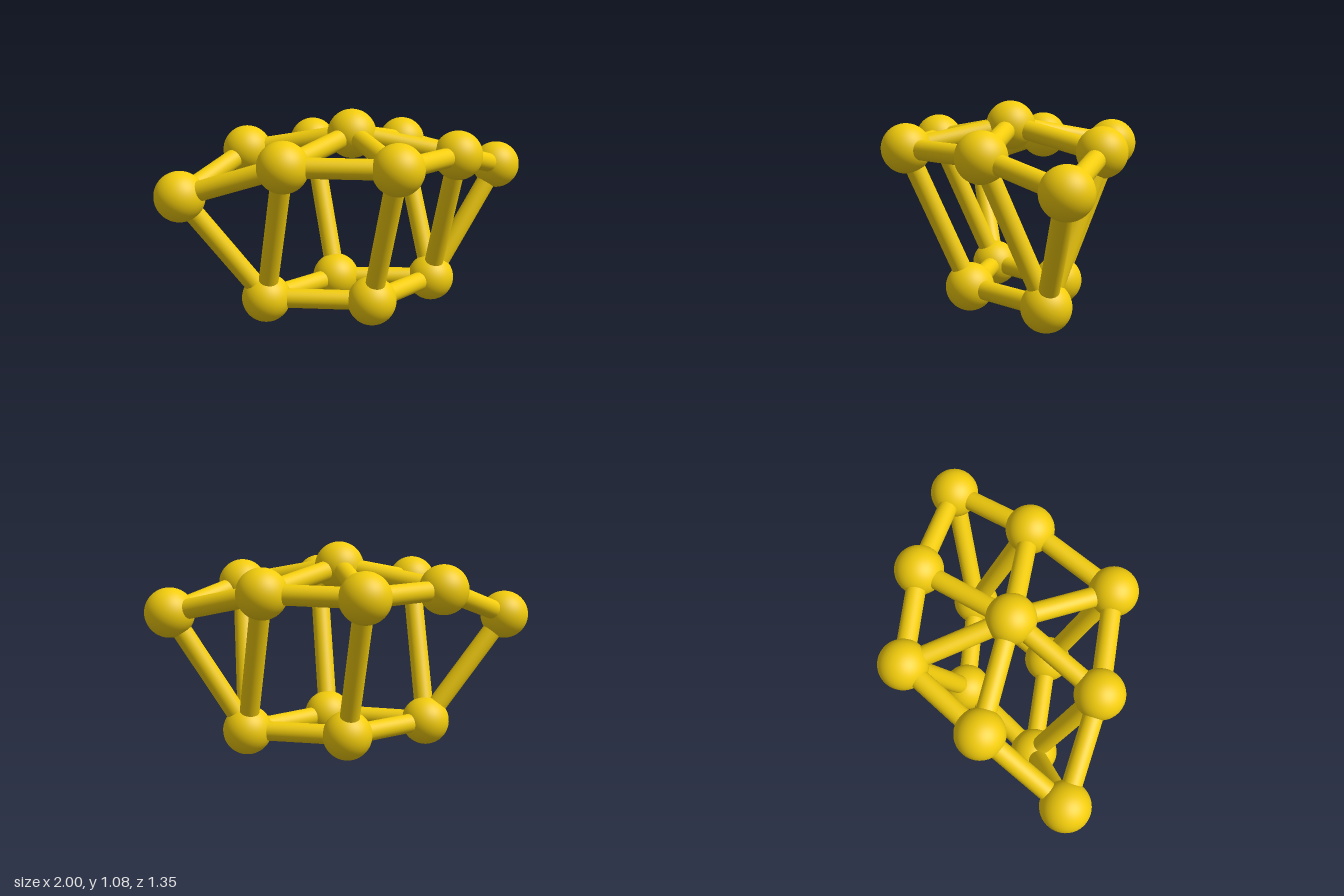
import * as THREE from 'three';

const ATOM_RADIUS = 0.125;
const BOND_RADIUS = 0.05;

// Atom centres
const ATOMS = {
  crown: [0.01, 0.957, 0.005],
  upperFront: [0.01, 0.855, 0.545],
  upperBack: [0.01, 0.85, -0.55],
  upperFrontRight: [-0.46, 0.857, 0.28],
  upperFrontLeft: [0.475, 0.855, 0.28],
  upperBackRight: [-0.445, 0.857, -0.32],
  upperBackLeft: [0.455, 0.857, -0.32],
  rightTip: [-0.875, 0.69, -0.05],
  leftTip: [0.872, 0.74, 0.005],
  baseFront: [0.025, 0.13, 0.228],
  baseBack: [0.025, 0.13, -0.252],
  baseRight: [-0.45, 0.13, -0.035],
  baseLeft: [0.498, 0.13, -0.03],
};

// Loops of joined atoms
const RINGS = [
  ['upperFront', 'upperFrontLeft', 'leftTip', 'upperBackLeft', 'upperBack', 'upperBackRight', 'rightTip', 'upperFrontRight'],
  ['baseFront', 'baseLeft', 'baseBack', 'baseRight'],
];

// Atoms with bonds fanning out from them
const FANS = {
  crown: ['upperFront', 'upperFrontLeft', 'upperBackLeft', 'upperBack', 'upperBackRight', 'upperFrontRight'],
  baseFront: ['upperFront'],
  baseBack: ['upperBack'],
  baseLeft: ['upperFrontLeft', 'upperBackLeft', 'leftTip'],
  baseRight: ['upperFrontRight', 'rightTip'],
};

export function createModel() {
  const model = new THREE.Group();
  model.name = 'atomCluster';
  const material = new THREE.MeshStandardMaterial({ color: 0xf2cc0c });
  const sphere = new THREE.SphereGeometry(ATOM_RADIUS, 48, 32);

  const atoms = new THREE.Group();
  atoms.name = 'atoms';
  const bonds = new THREE.Group();
  bonds.name = 'bonds';
  model.add(atoms, bonds);

  for (const [name, position] of Object.entries(ATOMS)) {
    const atom = new THREE.Mesh(sphere, material);
    atom.name = name + 'Atom';
    atom.position.set(...position);
    atoms.add(atom);
  }

  // Rod between two atom centres
  const addBond = (from, to) => {
    const a = new THREE.Vector3(...ATOMS[from]);
    const b = new THREE.Vector3(...ATOMS[to]);
    const along = b.clone().sub(a);
    const rod = new THREE.CylinderGeometry(BOND_RADIUS, BOND_RADIUS, along.length(), 32, 1, true);
    const bond = new THREE.Mesh(rod, material);
    bond.name = `${from}To${to[0].toUpperCase()}${to.slice(1)}Bond`;
    bond.position.copy(a).lerp(b, 0.5);
    bond.quaternion.setFromUnitVectors(new THREE.Vector3(0, 1, 0), along.normalize());
    bonds.add(bond);
  };

  for (const ring of RINGS) ring.forEach((name, i) => addBond(name, ring[(i + 1) % ring.length]));
  for (const [from, targets] of Object.entries(FANS)) targets.forEach((to) => addBond(from, to));

  return model;
}
